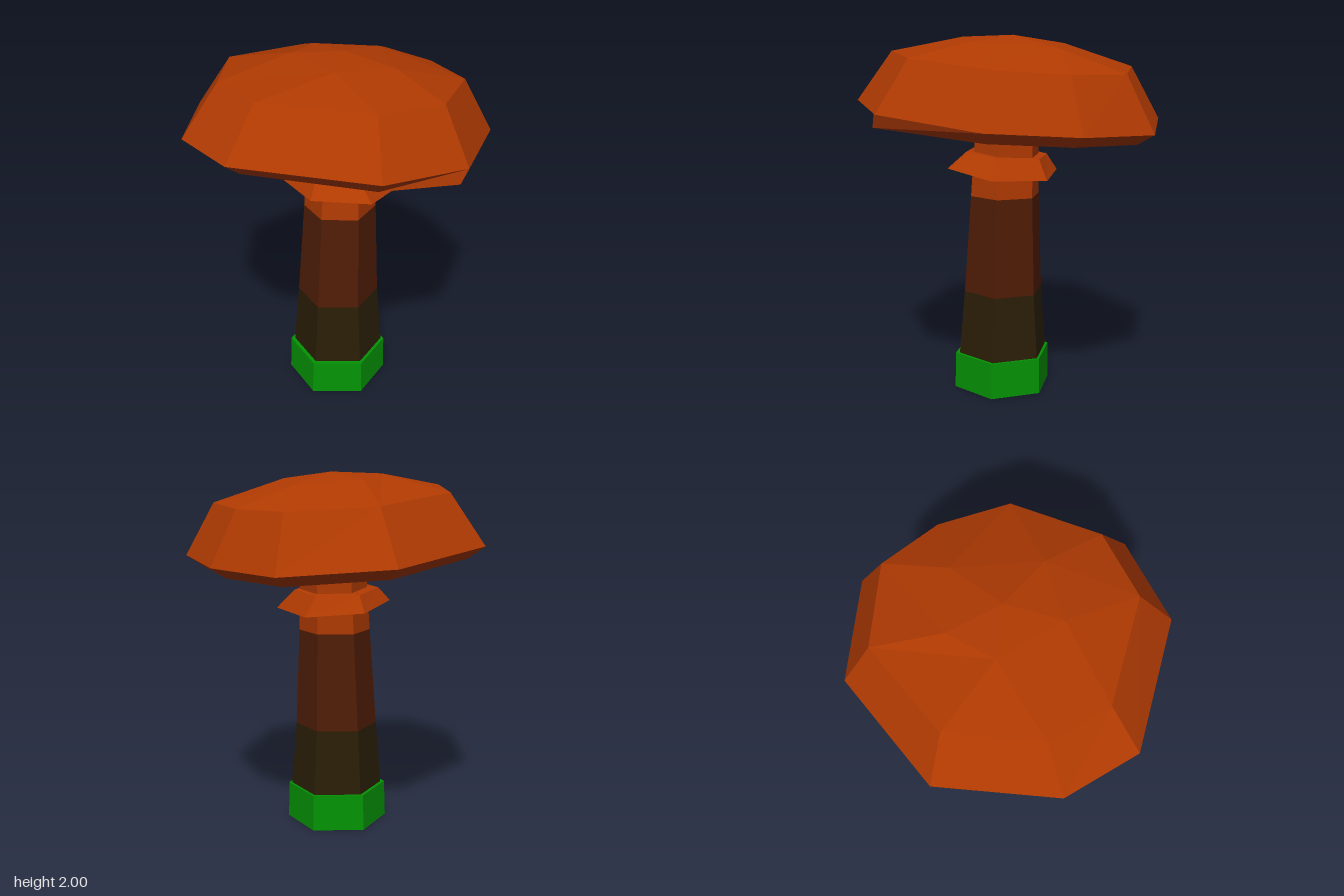
import * as THREE from 'three';

const material = (name, color) =>
  Object.assign(new THREE.MeshStandardMaterial({ color, flatShading: true }), { name });

// Join rings of [x, y, z] points (lowest or innermost first) into a faceted skin.
function loft(name, rings, mat) {
  const pos = [];
  const n = rings[0].length;
  for (let r = 0; r < rings.length - 1; r++) {
    for (let i = 0; i < n; i++) {
      const j = (i + 1) % n;
      const [a, b, c, d] = [rings[r][i], rings[r][j], rings[r + 1][j], rings[r + 1][i]];
      pos.push(...a, ...b, ...c, ...a, ...c, ...d);
    }
  }
  const geo = new THREE.BufferGeometry();
  geo.setAttribute('position', new THREE.Float32BufferAttribute(pos, 3));
  geo.computeVertexNormals();
  const mesh = new THREE.Mesh(geo, mat);
  mesh.name = name;
  return mesh;
}

// Six-sided ring with a corner at +z; tilt is the change of height per unit x and z.
function hexRing(cx, y, cz, radius, tiltX = 0, tiltZ = 0) {
  return Array.from({ length: 6 }, (_, i) => {
    const a = (i * Math.PI) / 3;
    const dx = radius * Math.sin(a), dz = radius * Math.cos(a);
    return [cx + dx, y + dx * tiltX + dz * tiltZ, cz + dz];
  });
}

// Move every point of a ring towards a centre point, then lift it.
const shrink = (ring, centre, k, lift = 0) =>
  ring.map((p) => p.map((v, i) => centre[i] + (v - centre[i]) * k + (i === 1 ? lift : 0)));

export function createModel() {
  const group = new THREE.Group();
  const orange = material('orange', 0xb03a02);
  const brown = material('brown', 0x501d06);
  const olive = material('darkOlive', 0x2a1e06);
  const green = material('green', 0x049404);
  olive.side = THREE.DoubleSide; // the foot is open

  // Stem: three coloured sections that lean and taper
  const base = hexRing(0, 0.01, 0.045, 0.276);
  const low = hexRing(0.003, 0.57, 0.04, 0.23);
  const mid = hexRing(0.018, 1.12, 0.033, 0.2);
  const top = hexRing(0.04, 1.66, 0.022, 0.176);
  group.add(
    loft('lowerStem', [base, low], olive),
    loft('middleStem', [low, mid], brown),
    loft('upperStem', [mid, top], orange)
  );

  // Green band around the foot
  group.add(loft('footBand', [
    hexRing(0, 0.01, 0.045, 0.275),
    hexRing(-0.005, 0, 0.045, 0.285),
    hexRing(-0.003, 0.205, 0.045, 0.28),
    hexRing(0, 0.205, 0.045, 0.25),
  ], green));

  // Thin flared skirt below the cap, slightly tilted
  group.add(loft('skirt', [
    hexRing(0.03, 1.335, 0.03, 0.185, -0.06, 0.06),
    hexRing(0.018, 1.265, 0.045, 0.32, -0.1, 0.05),
    hexRing(0.012, 1.355, 0.02, 0.235, -0.06, 0.06),
    hexRing(0.03, 1.36, 0.025, 0.17, -0.06, 0.06),
  ], orange));

  // Cap: uneven nine-sided rim and shoulder, tilted down to +x
  const rim = [
    [-0.21, 1.65, 0.81], [0.29, 1.61, 0.8], [0.76, 1.55, 0.38],
    [0.83, 1.52, -0.1], [0.7, 1.505, -0.54], [0.19, 1.54, -0.82],
    [-0.51, 1.61, -0.63], [-0.83, 1.67, -0.08], [-0.78, 1.685, 0.34],
  ];
  const shoulder = [
    [-0.13, 1.915, 0.63], [0.26, 1.885, 0.62], [0.63, 1.835, 0.29],
    [0.68, 1.81, -0.09], [0.59, 1.805, -0.43], [0.18, 1.83, -0.65],
    [-0.37, 1.89, -0.5], [-0.62, 1.93, -0.08], [-0.58, 1.935, 0.26],
  ];
  // Five-cornered crown, its corners shared between the shoulder points
  const corners = [
    [-0.13, 1.99, 0.23], [0.2, 1.965, 0.28], [0.37, 1.93, -0.15],
    [0.05, 1.955, -0.3], [-0.18, 1.99, -0.14],
  ];
  const crown = [0, 1, 1, 2, 2, 3, 4, 4, 0].map((i) => corners[i]);
  const core = [0.03, 1.6, 0.02];
  const lip = shrink(rim, core, 0.89, -0.065);
  lip[0] = [-0.18, 1.575, 0.73];
  lip[1] = [0.24, 1.54, 0.805];
  // Underside: shallow hollow from the lip in to a hub with a recess for the stem
  group.add(loft('cap', [
    shrink(rim, [0.03, 1.66, 0.02], 0),
    shrink(rim, core, 0.25, 0.05),
    shrink(rim, core, 0.285, -0.045),
    shrink(rim, core, 0.86, 0),
    lip,
    rim,
    shoulder,
    crown,
    shrink(crown, [0.06, 2, 0], 0),
  ], orange));

  return group;
}
